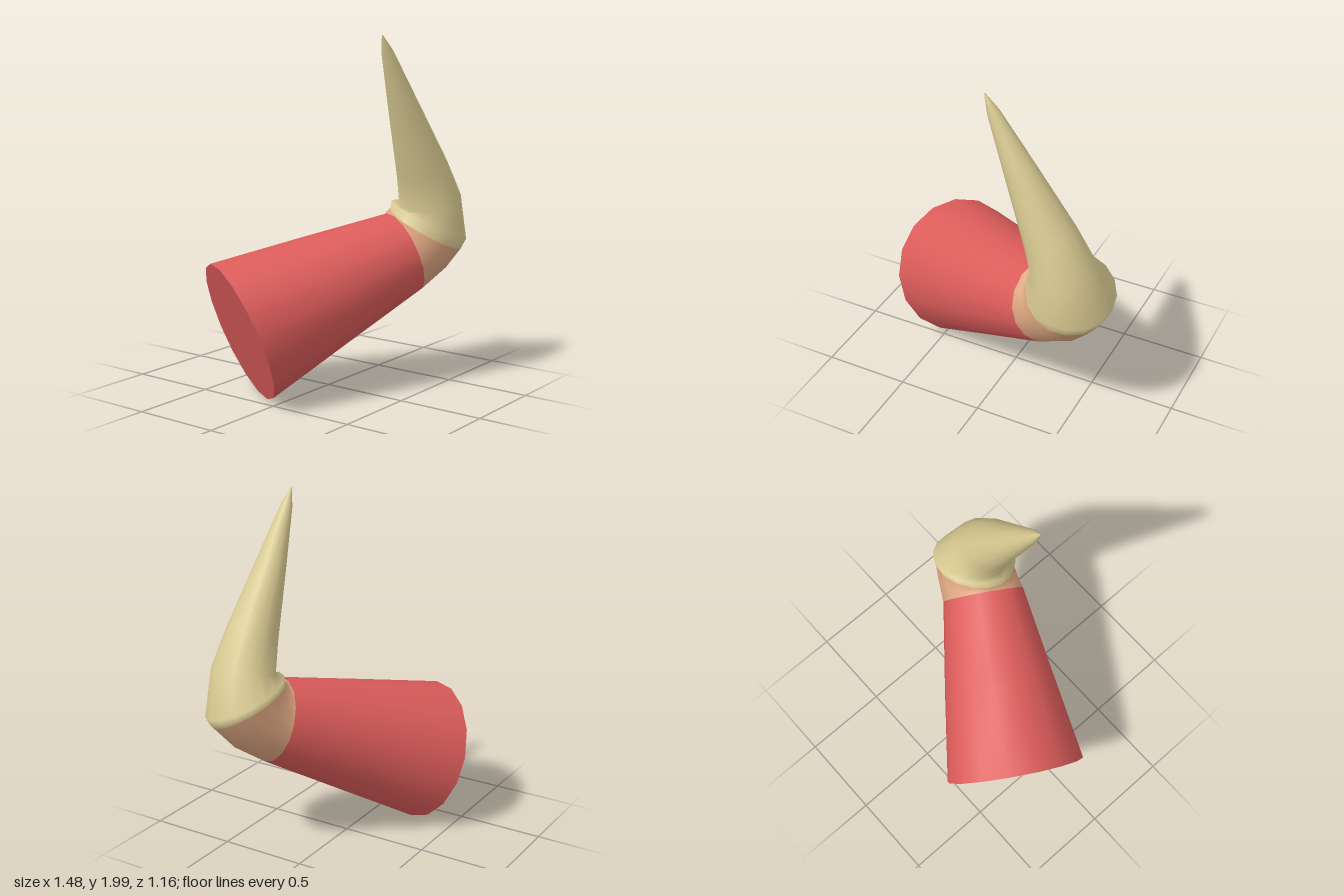
import * as THREE from 'three';

const SIDES = 16;

// Cross-sections along the bent limb: centre, facing direction, radius
const RINGS = [
  [[-0.51, 0.385, -0.23], [0.81, 0.34, 0.475], 0.41],
  [[-0.08, 0.575, 0.02], [0.81, 0.34, 0.475], 0.325],
  [[0.34, 0.76, 0.27], [0.81, 0.34, 0.475], 0.24],
  [[0.425, 0.82, 0.305], [0.55, 0.72, 0.43], 0.235],
  [[0.485, 0.885, 0.333], [0.25, 0.87, 0.4], 0.235],
  [[0.5, 0.935, 0.345], [0.26, 0.9, 0.345], 0.243],
  [[0.466, 1.06, 0.374], [-0.3, 0.95, 0.05], 0.178],
  [[0.385, 1.245, 0.37], [-0.45, 0.9, 0], 0.148],
  [[0.205, 1.6, 0.362], [-0.45, 0.9, 0], 0.087],
  [[0.05, 1.905, 0.357], [-0.45, 0.9, 0], 0.033],
  [[0.002, 1.998, 0.356], [-0.45, 0.9, 0], 0.003],
];

// Axis about which the limb bends, used to keep the rings untwisted
const BEND_AXIS = new THREE.Vector3(-0.4275, -0.214, 0.882).normalize();

function frame([c, dir, r]) {
  const n = new THREE.Vector3(...dir).normalize();
  const u = new THREE.Vector3().crossVectors(BEND_AXIS, n).normalize();
  const v = new THREE.Vector3().crossVectors(n, u);
  return { c: new THREE.Vector3(...c), n, u, v, r };
}

// Triangles joining ring `from` through ring `to`
function bandIndex(from, to) {
  const index = [];
  for (let i = from; i < to; i++) {
    for (let j = 0; j < SIDES; j++) {
      const k = (j + 1) % SIDES;
      const a = i * SIDES + j, b = i * SIDES + k;
      index.push(a, b, b + SIDES, a, b + SIDES, a + SIDES);
    }
  }
  return index;
}

export function createModel() {
  const group = new THREE.Group();
  const material = (name, color) => {
    const m = new THREE.MeshStandardMaterial({ color });
    m.name = name;
    return m;
  };
  const red = material('red', 0xdb5c5a);
  const peach = material('peach', 0xdda580);
  const tan = material('tan', 0xd9ca92);

  const add = (name, geometry, mat) => {
    const mesh = new THREE.Mesh(geometry, mat);
    mesh.name = name;
    group.add(mesh);
    return mesh;
  };

  // One continuous skin, so shading stays smooth across the colour bands
  const frames = RINGS.map(frame);
  const points = [];
  for (const { c, u, v, r } of frames) {
    for (let j = 0; j < SIDES; j++) {
      const a = (j / SIDES) * Math.PI * 2;
      const p = c.clone().addScaledVector(u, r * Math.cos(a)).addScaledVector(v, r * Math.sin(a));
      points.push(p.x, p.y, p.z);
    }
  }
  const skin = new THREE.BufferGeometry();
  skin.setAttribute('position', new THREE.Float32BufferAttribute(points, 3));
  skin.setIndex(bandIndex(0, RINGS.length - 1));
  skin.computeVertexNormals();

  const band = (name, from, to, mat) => {
    const g = new THREE.BufferGeometry();
    g.setAttribute('position', skin.getAttribute('position'));
    g.setAttribute('normal', skin.getAttribute('normal'));
    g.setIndex(bandIndex(from, to));
    add(name, g, mat);
  };
  band('taperedBase', 0, 2, red);
  band('neckBand', 2, 4, peach);
  band('hornSpike', 4, RINGS.length - 1, tan);

  // Flat disc closing the wide end
  const { c, n, u, v, r } = frames[0];
  const disc = new THREE.CircleGeometry(r, SIDES);
  disc.applyMatrix4(new THREE.Matrix4()
    .makeBasis(u, v.clone().negate(), n.clone().negate())
    .setPosition(c));
  add('baseEnd', disc, red);

  return group;
}
